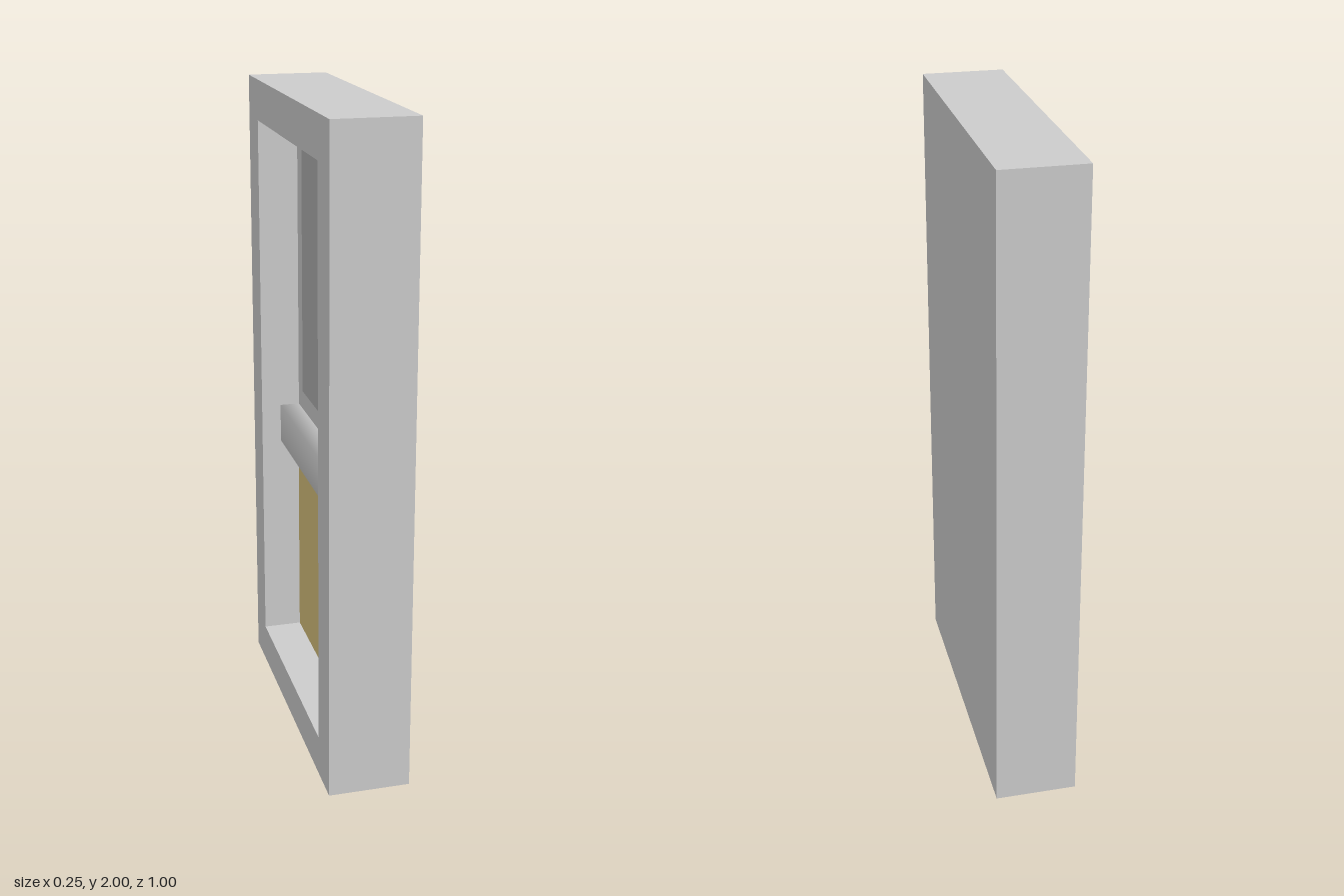
import * as THREE from 'three';
import { mergeVertices } from 'three/addons/utils/BufferGeometryUtils.js';

const WIDTH = 1, HEIGHT = 2, DEPTH = 0.125, BORDER = 0.125;

function rectangle(PathType, x0, y0, x1, y1) {
  const path = new PathType();
  path.moveTo(x0, y0).lineTo(x1, y0).lineTo(x1, y1).lineTo(x0, y1).closePath();
  return path;
}

// Box given by its lower and upper corners
function boxBetween([x0, y0, z0], [x1, y1, z1]) {
  return new THREE.BoxGeometry(x1 - x0, y1 - y0, z1 - z0)
    .translate((x0 + x1) / 2, (y0 + y1) / 2, (z0 + z1) / 2);
}

export function createModel() {
  const model = new THREE.Group();
  model.name = 'cabinet';

  const grey = new THREE.MeshStandardMaterial({ color: 0xcccccc });
  const glass = new THREE.MeshStandardMaterial({ color: 0xaeaeae });
  const gold = new THREE.MeshStandardMaterial({ color: 0xd4be7b });

  const add = (name, geometry, material) => {
    const mesh = new THREE.Mesh(geometry, material);
    mesh.name = name;
    model.add(mesh);
  };

  const half = WIDTH / 2, inner = half - BORDER;

  // Solid board closing the +x side
  add('backBoard', boxBetween([0, 0, -half], [DEPTH, HEIGHT, half]), grey);

  // Border around the recess, open towards -x
  const outline = rectangle(THREE.Shape, -half, 0, half, HEIGHT);
  outline.holes.push(rectangle(THREE.Path, -inner, BORDER, inner, HEIGHT - BORDER));
  const frame = new THREE.ExtrudeGeometry(outline, { depth: DEPTH, bevelEnabled: false });
  add('frame', frame.rotateY(-Math.PI / 2), grey);

  // Thin panels lying on the floor of the recess
  add('upperPane', boxBetween([-0.002, 1, -0.3125], [0.01, 1.8125, 0.3125]), glass);
  add('lowerPanel', boxBetween([-0.002, BORDER - 0.01, -inner - 0.01], [0.01, 0.875, inner + 0.01]), gold);

  // Cross bar with shared corners, so that its shading runs smoothly over the edges
  const bar = boxBetween([-0.0625, 0.8125, -inner], [0, 0.9375, inner]);
  bar.deleteAttribute('normal');
  bar.deleteAttribute('uv');
  const smoothBar = mergeVertices(bar);
  smoothBar.computeVertexNormals();
  add('crossBar', smoothBar, grey);

  return model;
}
